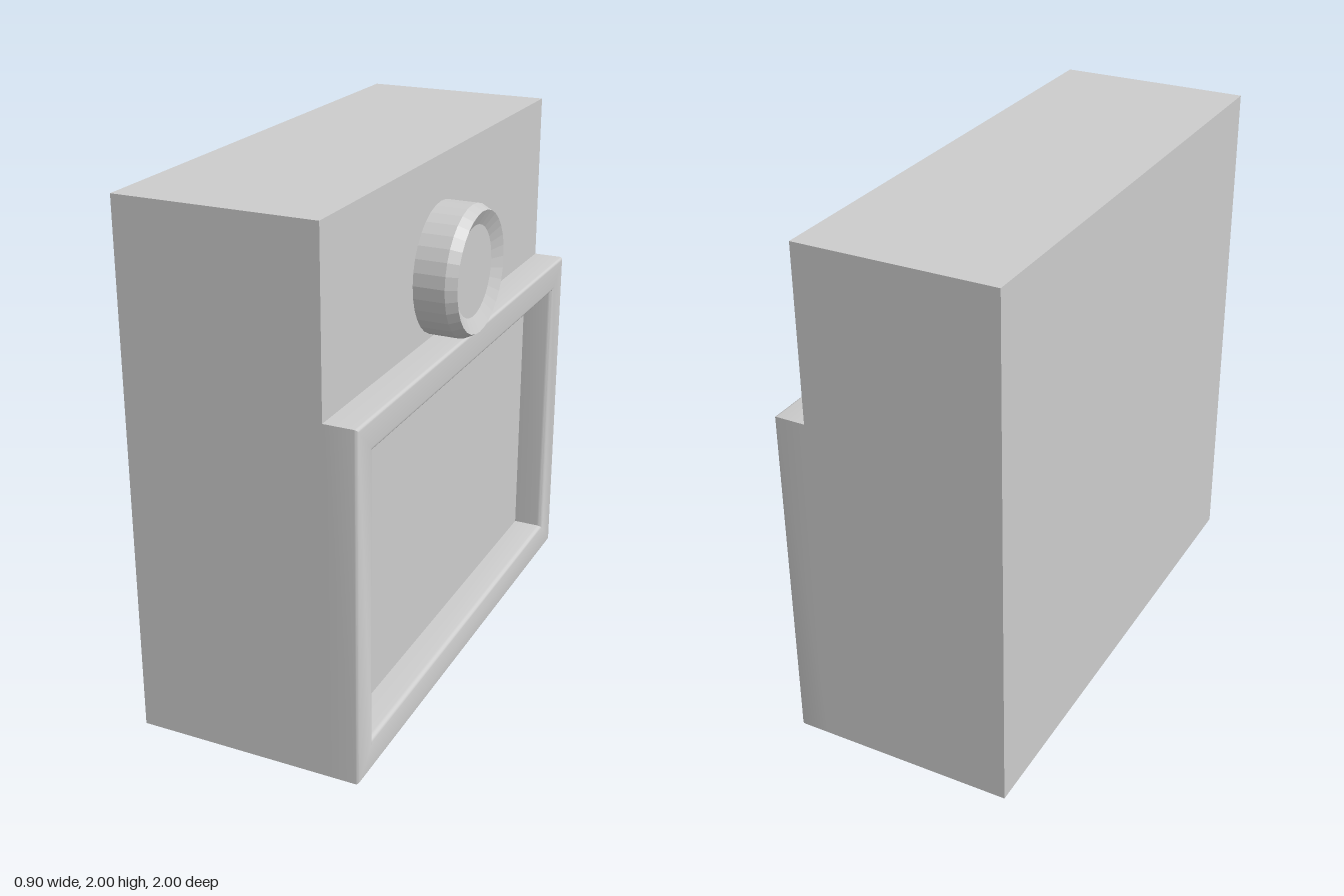
import * as THREE from 'three';
import { toCreasedNormals } from 'three/addons/utils/BufferGeometryUtils.js';

const FACE = 0.29; // x of the body's working face
const material = new THREE.MeshStandardMaterial({ color: 0xcccccc });

function addMesh(group, name, geometry, mat = material) {
  const mesh = new THREE.Mesh(geometry, mat);
  mesh.name = name;
  group.add(mesh);
  return mesh;
}

// Mitred rectangular frame: a profile of [inset, x] swept round the rectangle
function frameGeometry(profile, height, halfWidth) {
  const ring = ([inset, x]) => {
    const z = halfWidth - inset, top = height - inset;
    return [[x, inset, z], [x, inset, -z], [x, top, -z], [x, top, z]];
  };
  const positions = [];
  for (let i = 0; i < profile.length - 1; i++) {
    const p = ring(profile[i]), q = ring(profile[i + 1]);
    for (let j = 0; j < 4; j++) {
      const k = (j + 1) % 4;
      positions.push(...p[j], ...p[k], ...q[k], ...p[j], ...q[k], ...q[j]);
    }
  }
  const geometry = new THREE.BufferGeometry();
  geometry.setAttribute('position', new THREE.Float32BufferAttribute(positions, 3));
  return toCreasedNormals(geometry, 0.6);
}

export function createModel() {
  const model = new THREE.Group();
  model.name = 'boxWithKnob';

  // Main block; its face is also the floor of the framed recess
  const body = addMesh(model, 'body', new THREE.BoxGeometry(0.745, 2, 2));
  body.position.set(FACE - 0.3725, 1, 0);

  // Raised frame with rounded outer and inner front edges
  const front = 0.413, outerR = 0.012, innerR = 0.02, width = 0.12, steps = 4;
  const profile = [[0, FACE]];
  for (let i = 0; i <= steps; i++) {
    const a = (i / steps) * Math.PI / 2;
    profile.push([outerR * (1 - Math.cos(a)), front - outerR * (1 - Math.sin(a))]);
  }
  for (let i = 0; i <= steps; i++) {
    const a = (i / steps) * Math.PI / 2;
    profile.push([width - innerR * (1 - Math.sin(a)), front - innerR * (1 - Math.cos(a))]);
  }
  profile.push([width, FACE]);
  addMesh(model, 'frame', frameGeometry(profile, 1.34, 1));

  // Round knob with a chamfered rim and a shallow dished face
  const knobProfile = [
    [0.245, 0], [0.245, 0.12], [0.225, 0.16], [0.17, 0.132], [0, 0.132],
  ].map(([r, h]) => new THREE.Vector2(r, h));
  const knobMaterial = material.clone();
  knobMaterial.flatShading = true;
  const knob = addMesh(model, 'knob', new THREE.LatheGeometry(knobProfile, 32), knobMaterial);
  knob.rotation.z = -Math.PI / 2;
  knob.position.set(FACE, 1.585, 0.055);

  return model;
}
